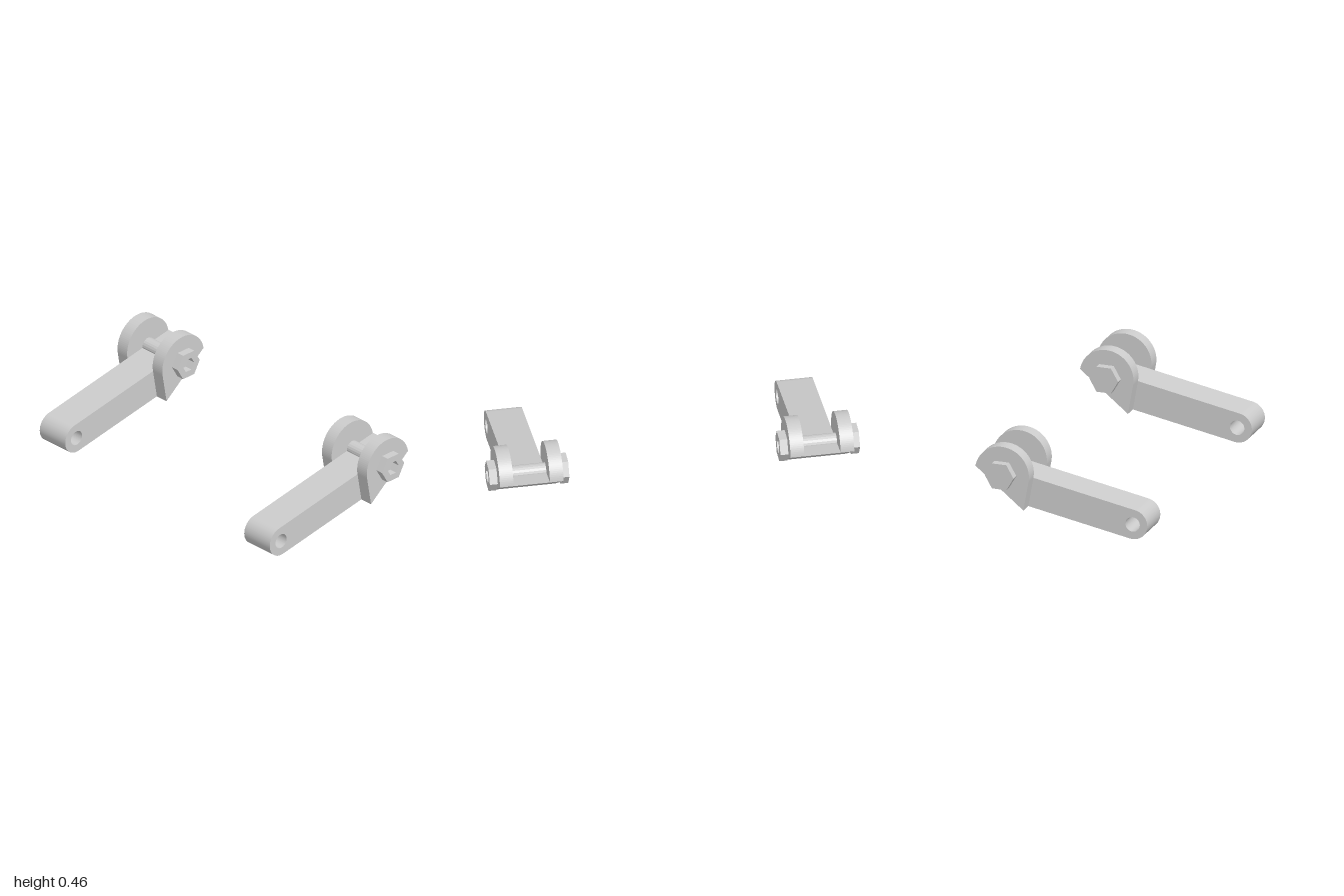
import * as THREE from 'three';

const material = new THREE.MeshStandardMaterial({ color: 0xcccccc, flatShading: true });
const TILT = Math.PI / 18;
const PIVOT = [0.322, 0.302];
const EYE = [-0.394, 0.0835];
const HEEL = [0.2, 0.109];
const TIP = [0.475, 0.33];

// Extrudes a shape from z0 to z1
function slab(name, shape, z0, z1) {
  const geometry = new THREE.ExtrudeGeometry(shape, { depth: z1 - z0, bevelEnabled: false, curveSegments: 24 });
  geometry.translate(0, 0, z0);
  const mesh = new THREE.Mesh(geometry, material);
  mesh.name = name;
  return mesh;
}

// Hexagon with corners pointing sideways, around the pivot
function hexagon(radius, PathType) {
  const points = [];
  for (let i = 0; i < 6; i++) {
    const a = (i * Math.PI) / 3;
    points.push(new THREE.Vector2(PIVOT[0] + radius * Math.cos(a), 0.3 + radius * Math.sin(a)));
  }
  return new PathType(points);
}

// Tilted bar with a rounded eye, cut off by the slanted end face
function armShape() {
  const shape = new THREE.Shape();
  shape.moveTo(...HEEL);
  shape.lineTo(...TIP);
  shape.absarc(...EYE, 0.0835, Math.PI / 2 + TILT, Math.PI * 1.5 + TILT, false);
  shape.closePath();
  const hole = new THREE.Path();
  hole.absarc(...EYE, 0.041, 0, Math.PI * 2, true);
  shape.holes.push(hole);
  return shape;
}

// Rounded lug that shares the slanted end face
function cheekShape() {
  const shape = new THREE.Shape();
  shape.moveTo(...HEEL);
  shape.lineTo(...TIP);
  shape.absarc(...PIVOT, 0.1535, TILT, Math.PI + TILT, false);
  shape.closePath();
  return shape;
}

function createArm() {
  const group = new THREE.Group();
  group.add(slab('armBar', armShape(), -0.098, 0.098));
  for (const side of [-1, 1]) {
    const z = side < 0 ? -0.172 : 0.098;
    group.add(slab(side < 0 ? 'backCheek' : 'frontCheek', cheekShape(), z, z + 0.074));
  }

  // Bolt shaft between the cheeks
  const shaft = new THREE.Mesh(new THREE.CylinderGeometry(0.041, 0.041, 0.34, 20), material);
  shaft.name = 'boltShaft';
  shaft.rotation.x = Math.PI / 2;
  shaft.position.set(PIVOT[0], 0.3, 0);
  group.add(shaft);

  // Front head with a hexagonal socket, plain nut at the back
  const head = hexagon(0.082, THREE.Shape);
  head.holes.push(hexagon(0.041, THREE.Path));
  group.add(slab('boltHead', head, 0.172, 0.215));
  group.add(slab('nut', hexagon(0.082, THREE.Shape), -0.215, -0.172));
  return group;
}

export function createModel() {
  const model = new THREE.Group();
  for (const side of [-1, 1]) {
    const arm = createArm();
    arm.name = side < 0 ? 'backArm' : 'frontArm';
    arm.position.z = side * 0.785;
    model.add(arm);
  }
  return model;
}
